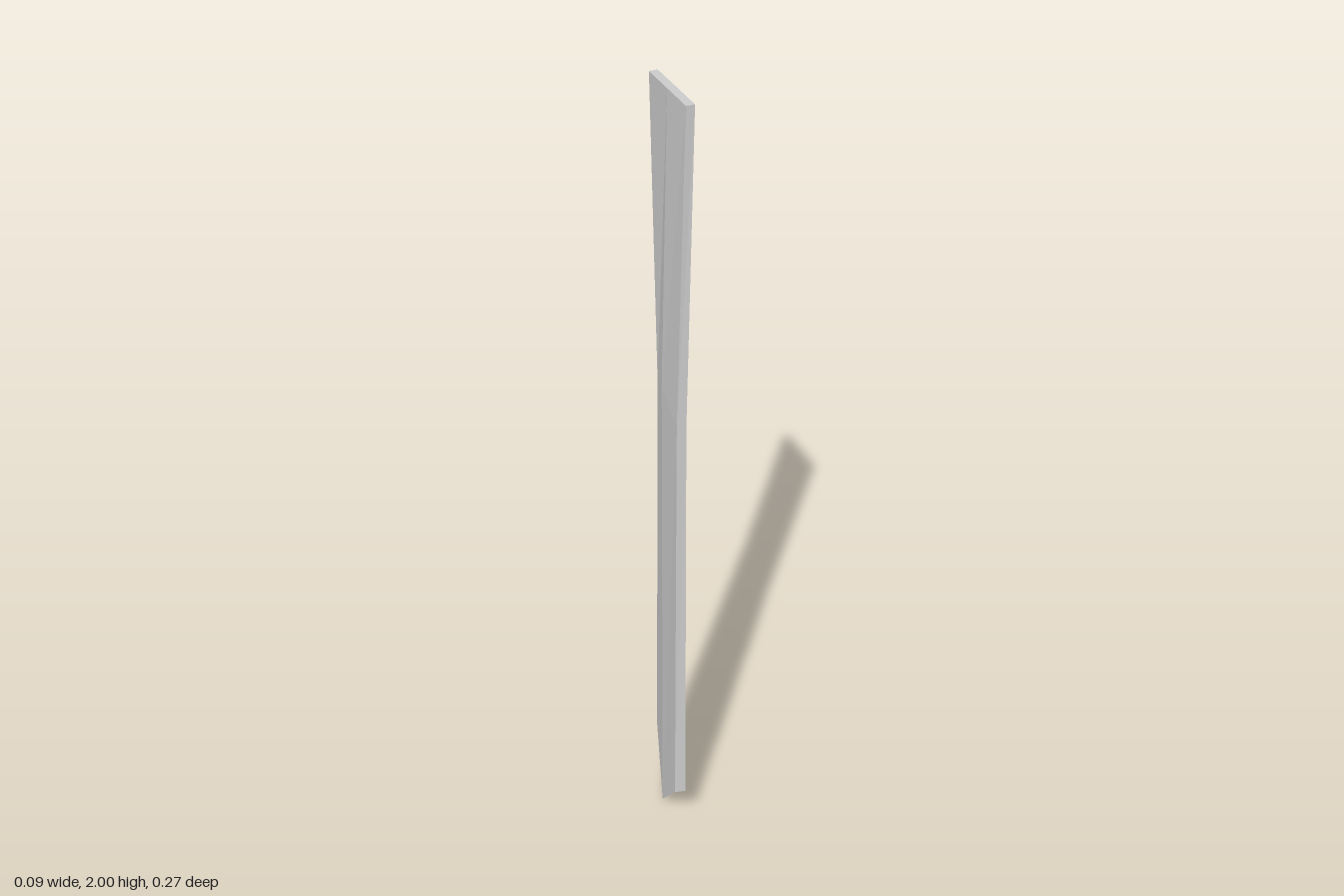
import * as THREE from 'three';

// Each section runs: front right, front left, left middle, back left, back right, right middle
const sections = [
  // pointed lower end
  [[-0.046, 0.15, 0.128], [-0.02, 0.15, 0.134], [0.008, 0.06, 0.005],
    [0.045, 0.15, -0.136], [0.014, 0.15, -0.127], [-0.025, 0.005, 0]],
  // bend
  [[-0.035, 1.24, 0.11], [-0.013, 1.24, 0.113], [0.007, 1.28, 0.005],
    [0.036, 1.24, -0.106], [0.01, 1.24, -0.104], [-0.024, 1.28, 0]],
  // straight upper end
  [[-0.012, 2, 0.1], [0.008, 2, 0.1], [0.008, 2, 0.005],
    [0.008, 2, -0.09], [-0.012, 2, -0.09], [-0.012, 2, 0.005]],
];

// Lofts the sections into a closed solid
function loftGeometry(rows) {
  const n = rows[0].length;
  const index = [];
  const quad = (a, b, c, d) => index.push(a, b, c, a, c, d);
  for (let r = 0; r < rows.length - 1; r++) {
    for (let i = 0; i < n; i++) {
      const a = r * n + i;
      const b = r * n + ((i + 1) % n);
      quad(a, b, b + n, a + n);
    }
  }
  // end caps, split along the middle
  const t = (rows.length - 1) * n;
  quad(0, 5, 2, 1);
  quad(5, 4, 3, 2);
  quad(t, t + 1, t + 2, t + 5);
  quad(t + 5, t + 2, t + 3, t + 4);

  const geometry = new THREE.BufferGeometry();
  geometry.setAttribute('position', new THREE.Float32BufferAttribute(rows.flat(2), 3));
  geometry.setIndex(index);
  const flat = geometry.toNonIndexed();
  flat.computeVertexNormals();
  return flat;
}

export function createModel() {
  const group = new THREE.Group();
  group.name = 'necktie';
  const material = new THREE.MeshStandardMaterial({ color: 0xcccccc, flatShading: true });
  const blade = new THREE.Mesh(loftGeometry(sections), material);
  blade.name = 'tieBlade';
  group.add(blade);
  return group;
}
